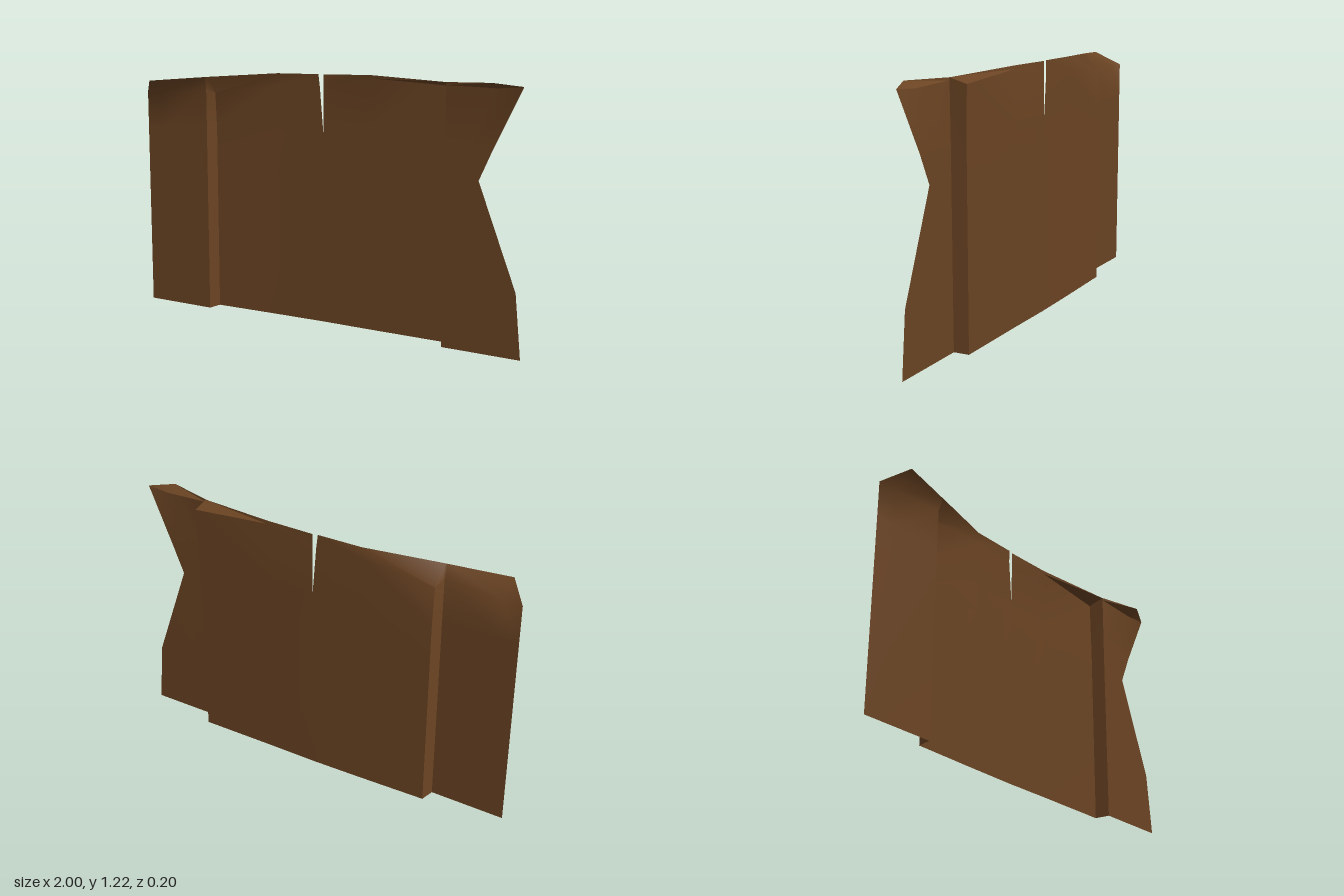
import * as THREE from 'three';
import { toCreasedNormals } from 'three/addons/utils/BufferGeometryUtils.js';

// Columns of the folded sheet, left to right across the front:
// [x, z] of the straight part, then the bend point and the rim point.
const COLUMNS = [
  { base: [-1, 0], bend: [-1, 1.09, 0], rim: [-1, 1.092, 0.001] },
  { base: [-0.91, 0], bend: [-0.91, 1.095, 0.002], rim: [-0.91, 1.16, 0.1] },
  { base: [-0.64, 0], bend: [-0.64, 1.12, 0], rim: [-0.64, 1.182, 0.02] },
  { base: [-0.628, -0.07], bend: [-0.628, 1.1, -0.06], rim: [-0.628, 1.183, 0.017] },
  { base: [-0.28, -0.083], bend: [-0.28, 1.15, -0.084], rim: [-0.28, 1.207, -0.084] },
  { base: [-0.03, -0.09], bend: [-0.05, 1.15, -0.09], rim: [-0.055, 1.21, -0.085], notch: true },
  { base: [-0.03, -0.09], bend: [-0.03, 1.15, -0.09], rim: [-0.03, 1.21, -0.09] },
  { base: [0.22, -0.09], bend: [0.22, 1.2, -0.09], rim: [0.22, 1.215, -0.087] },
  { base: [0.618, -0.094], bend: [0.62, 1.18, -0.1], rim: [0.62, 1.203, -0.02] },
  { base: [0.625, -0.02], bend: [0.625, 1.19, -0.018], rim: [0.625, 1.203, -0.018] },
  { base: [0.74, -0.021], bend: [0.86, 1.185, -0.017], rim: [0.86, 1.212, 0.04] },
  { base: [1, -0.022], bend: [0.98, 1.193, -0.015], rim: [0.98, 1.196, -0.014], edge: [1, 0.97, 0.785, 0.847] },
];
const ROWS = [0, 0.3, 0.78, 0.92]; // heights below the bend

function columnPoints({ base: [x, z], bend, rim, edge }) {
  const low = ROWS.map((y, i) => {
    const px = edge ? edge[i] : x;
    return new THREE.Vector3(px, i ? y : 0.01 - 0.01 * px, z);
  });
  return [...low, new THREE.Vector3(...bend), new THREE.Vector3(...rim)];
}

function sheetGeometry() {
  const grid = COLUMNS.map(columnPoints);
  const points = [];
  for (let c = 0; c < grid.length - 1; c++) {
    if (COLUMNS[c].notch) continue; // open tear in the rim
    for (let r = 0; r < grid[c].length - 1; r++) {
      const [a, b, d, e] = [grid[c][r], grid[c + 1][r], grid[c + 1][r + 1], grid[c][r + 1]];
      points.push(a, b, d, a, d, e);
    }
  }
  const geometry = new THREE.BufferGeometry().setFromPoints(points);
  return toCreasedNormals(geometry, THREE.MathUtils.degToRad(62));
}

export function createModel() {
  const rust = new THREE.MeshStandardMaterial({ color: 0x6b4423 });
  rust.name = 'rustBrown';
  rust.side = THREE.DoubleSide;

  // One bent sheet: left flange, recessed panel and torn right flange
  const sheet = new THREE.Mesh(sheetGeometry(), rust);
  sheet.name = 'foldedSheet';

  const group = new THREE.Group();
  group.name = 'tornMetalSheet';
  group.add(sheet);
  return group;
}
